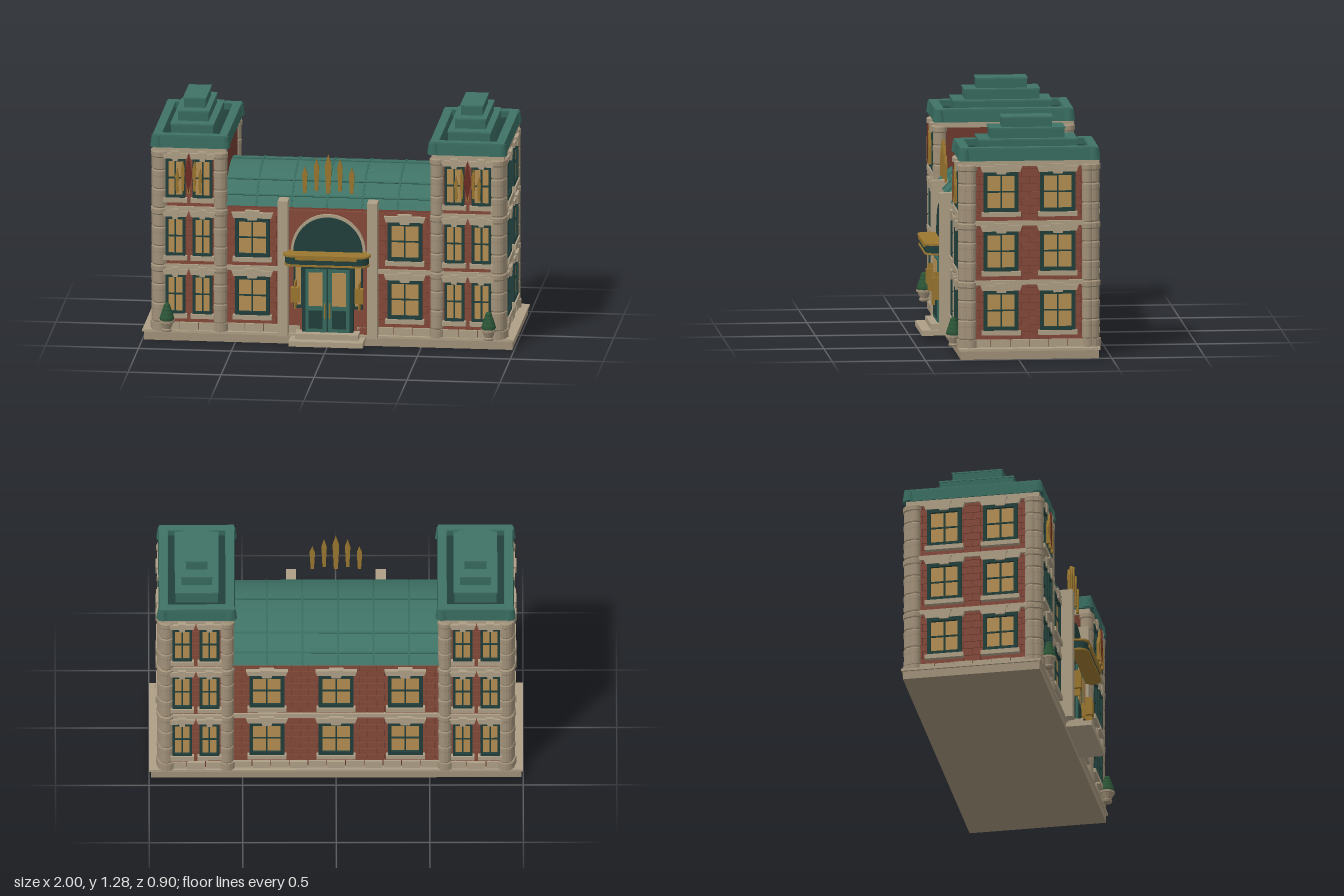
import * as THREE from 'three';
import { mergeGeometries } from 'three/addons/utils/BufferGeometryUtils.js';

const paint = (color) => new THREE.MeshStandardMaterial({ color });
const STONE = paint(0xa09078), PALE = paint(0xae9f86), BRICK = paint(0x84493a), GROUT = paint(0x6e3a2e);
const GREEN = paint(0x376a5e), ROOF = paint(0x3f7265), DARK = paint(0x213f3b), GLASS = paint(0xb48e52);
const GOLD = paint(0x9a762f), MAROON = paint(0x6b2c22), LEAF = paint(0x2c5537);
const MID_Z = -0.0625;

function add(parent, name, geo, mat, x = 0, y = 0, z = 0) {
  const m = new THREE.Mesh(geo, mat);
  m.name = name;
  m.position.set(x, y, z);
  parent.add(m);
  return m;
}
// Box given by its extents on each axis
function block(parent, name, mat, [x0, x1], [y0, y1], [z0, z1]) {
  return add(parent, name, new THREE.BoxGeometry(x1 - x0, y1 - y0, z1 - z0), mat, (x0 + x1) / 2, (y0 + y1) / 2, (z0 + z1) / 2);
}
const poly = (pts) => new THREE.Shape(pts.map(([x, y]) => new THREE.Vector2(x, y)));
const slab = (shape, depth, curveSegments = 20) => new THREE.ExtrudeGeometry(shape, { depth, bevelEnabled: false, curveSegments });
const rect = (w, h) => poly([[-w / 2, 0], [w / 2, 0], [w / 2, h], [-w / 2, h]]);

// Wall-mounted window: frame, glass, glazing bars, sill, lintel and keystone
function addWindow(wall, x, y, w) {
  const g = new THREE.Group(), h = 0.215, f = w > 0.15 ? 0.02 : 0.014, e = w / 2;
  g.name = 'window';
  g.position.set(x, y, 0);
  const frame = rect(w, h);
  frame.holes.push(poly([[-e + f, f], [-e + f, h - f], [e - f, h - f], [e - f, f]]));
  add(g, 'windowFrame', slab(frame, 0.024), DARK);
  block(g, 'windowGlass', GLASS, [-e + f, e - f], [f, h - f], [0, 0.01]);
  block(g, 'verticalBar', DARK, [-0.004, 0.004], [f, h - f], [0, 0.016]);
  block(g, 'horizontalBar', DARK, [-e + f, e - f], [h / 2 - 0.004, h / 2 + 0.004], [0, 0.016]);
  block(g, 'sill', PALE, [-e - 0.011, e + 0.011], [-0.025, 0], [0, 0.032]);
  add(g, 'lintel', slab(poly([[-e - 0.008, h], [e + 0.008, h], [e + 0.018, h + 0.03], [-e - 0.018, h + 0.03]]), 0.027), PALE);
  const k = w * 0.13;
  add(g, 'keystone', slab(poly([[-k, h - 0.01], [k, h - 0.01], [k * 1.6, h + 0.042], [-k * 1.6, h + 0.042]]), 0.034), PALE);
  wall.add(g);
}

// Raised running-bond bricks covering a wall face
function addBricks(wall, width, y0, y1) {
  const bricks = [], bw = 0.09, bh = 0.04, gap = 0.003;
  for (let r = 0, y = y0; y < y1 - 0.005; r++, y += bh) {
    const top = Math.min(y + bh - gap, y1);
    for (let x = -width / 2 - (r % 2) * bw / 2; x < width / 2; x += bw) {
      const a = Math.max(x, -width / 2), b = Math.min(x + bw - gap, width / 2);
      if (b - a < 0.01) continue;
      bricks.push(new THREE.BoxGeometry(b - a, top - y, 0.008).translate((a + b) / 2, (y + top) / 2, 0));
    }
  }
  add(wall, 'bricks', mergeGeometries(bricks), BRICK);
}

// A decorated wall; local +z points out of the building
function addWall(parent, x, z, angle, width, top, centres, winW, floors) {
  const wall = new THREE.Group();
  wall.name = 'wall';
  wall.position.set(x, 0, z);
  wall.rotation.y = angle;
  addBricks(wall, width, 0.1, top);
  for (let i = 0; i < floors; i++) {
    for (const u of centres) addWindow(wall, u, 0.15 + 0.32 * i, winW);
    if (i) block(wall, 'floorBand', PALE, [-width / 2, width / 2], [0.075 + 0.32 * i, 0.1 + 0.32 * i], [0, 0.016]);
  }
  const n = Math.round(width / 0.1), s = width / n;
  for (let i = 0; i < n; i++) {
    const a = -width / 2 + i * s;
    block(wall, 'plinthStone', PALE, [a + 0.002, a + s - 0.002], [0.055, 0.1], [-0.01, i % 2 ? 0.02 : 0.015]);
  }
  parent.add(wall);
}

// Drum column with grooves, a base and a capital on each floor
function addColumn(parent, x, z, r) {
  const p = [[0, 0.055], [r * 1.15, 0.055], [r * 1.15, 0.1]];
  for (let i = 0; i < 9; i++) {
    const y = 0.1 + i * 0.105, bulge = i % 3 === 2 ? 1.08 : 1;
    p.push([r * 0.88, y], [r * 0.98, y + 0.007], [r * 0.98, y + 0.068], [r * bulge, y + 0.074], [r * bulge, y + 0.098], [r * 0.88, y + 0.105]);
  }
  p.push([0, 1.045]);
  const geo = new THREE.LatheGeometry(p.map(([a, b]) => new THREE.Vector2(a, b)), 16);
  add(parent, 'column', geo, STONE, x, 0, z).material = STONE_FLAT;
}
const STONE_FLAT = new THREE.MeshStandardMaterial({ color: 0xa09078, flatShading: true });

// Fan of pointed spikes, tallest in the middle
function addCrest(parent, x, y, z, spacing, width, height) {
  const g = new THREE.Group();
  g.name = 'spikeCrest';
  g.position.set(x, y, z);
  for (let i = -2; i <= 2; i++) {
    const h = height * [1, 0.84, 0.67][Math.abs(i)], w = width * (i ? 0.8 : 1) / 2;
    const spike = poly([[-w * 0.6, 0], [w * 0.6, 0], [w, h * 0.72], [0, h], [-w, h * 0.72]]);
    add(g, 'spike', slab(spike, 0.014), GOLD, i * spacing, i % 2 ? 0.012 : 0, -0.007);
  }
  parent.add(g);
  return g;
}

function buildTower() {
  const t = new THREE.Group(), cx = 0.75;
  t.name = 'tower';
  block(t, 'towerBody', GROUT, [0.565, 0.93], [0.05, 1.04], [-0.415, 0.29]);
  addWall(t, cx, 0.29, 0, 0.31, 1.035, [-0.073, 0.073], 0.105, 3);
  addWall(t, cx, -0.415, Math.PI, 0.31, 1.035, [-0.073, 0.073], 0.105, 3);
  addWall(t, 0.93, MID_Z, Math.PI / 2, 0.62, 1.035, [-0.152, 0.152], 0.187, 3);
  for (const s of [-1, 1]) {
    addColumn(t, 0.907, MID_Z + s * 0.338, 0.043);
    addColumn(t, 0.925, MID_Z + s * 0.315, 0.033);
    addColumn(t, 0.583, MID_Z + s * 0.342, 0.038);
  }
  block(t, 'cornice', PALE, [0.555, 0.945], [1.035, 1.07], [-0.425, 0.3]);
  // Roof parapet: flared frame around a sunken deck
  const W = 0.41, D = 0.75, x0 = 0.745;
  const rim = rect(W, D);
  rim.holes.push(poly([[-0.158, 0.05], [-0.158, D - 0.05], [0.158, D - 0.05], [0.158, 0.05]]));
  const geo = slab(rim, 0.068).translate(0, -D / 2, 0).rotateX(-Math.PI / 2);
  const pos = geo.attributes.position;
  for (let i = 0; i < pos.count; i++) {
    if (pos.getY(i) > 0.03) { pos.setX(i, pos.getX(i) * 0.97); pos.setZ(i, pos.getZ(i) * 0.98); }
  }
  geo.computeVertexNormals();
  add(t, 'parapet', geo, GREEN, x0, 1.065, MID_Z);
  block(t, 'parapetCap', ROOF, [x0 - 0.2, x0 - 0.155], [1.125, 1.136], [MID_Z - 0.37, MID_Z + 0.37]);
  block(t, 'parapetCap', ROOF, [x0 + 0.155, x0 + 0.2], [1.125, 1.136], [MID_Z - 0.37, MID_Z + 0.37]);
  for (const s of [-1, 1]) {
    block(t, 'parapetCap', ROOF, [x0 - 0.155, x0 + 0.155], [1.125, 1.136], [MID_Z + s * 0.3475 - 0.0225, MID_Z + s * 0.3475 + 0.0225]);
    for (const u of [-1, 1]) add(t, 'cornerBoss', new THREE.CylinderGeometry(0.028, 0.036, 0.06, 10), GREEN, x0 + u * 0.18, 1.098, MID_Z + s * 0.348);
  }
  block(t, 'roofDeck', DARK, [x0 - 0.16, x0 + 0.16], [1.07, 1.1], [MID_Z - 0.33, MID_Z + 0.33]);
  // Stepped roof tiers with thin lips
  [[0.113, 0.262, 1.09, 1.17], [0.082, 0.2, 1.16, 1.227], [0.058, 0.135, 1.22, 1.283]].forEach(([a, b, y0, y1]) => {
    block(t, 'roofTier', GREEN, [x0 - a, x0 + a], [y0, y1 - 0.008], [MID_Z - b, MID_Z + b]);
    block(t, 'tierLip', ROOF, [x0 - a - 0.004, x0 + a + 0.004], [y1 - 0.008, y1], [MID_Z - b - 0.004, MID_Z + b + 0.004]);
  });
  // Crest between the upper windows
  const crest = addCrest(t, cx, 0.82, 0.322, 0.031, 0.024, 0.2);
  add(crest, 'crestDiamond', slab(poly([[0, 0], [0.02, 0.1], [0, 0.215], [-0.02, 0.1]]), 0.008), MAROON, 0, 0, 0.002);
  // Potted shrub
  const pot = [[0, 0], [0.024, 0], [0.028, 0.01], [0.022, 0.016], [0.036, 0.05], [0.042, 0.05], [0.042, 0.062], [0, 0.062]];
  add(t, 'plantPot', new THREE.LatheGeometry(pot.map(([a, b]) => new THREE.Vector2(a, b)), 12), STONE_FLAT, 0.865, 0.058, 0.338);
  for (let i = 0; i < 4; i++) add(t, 'shrub', new THREE.IcosahedronGeometry(0.04 - i * 0.007, 1), LEAF, 0.865, 0.13 + i * 0.022, 0.338);
  return t;
}

function buildEntrance() {
  const e = new THREE.Group();
  e.name = 'entrance';
  block(e, 'portalWall', BRICK, [-0.22, 0.22], [0.05, 0.735], [0.25, 0.3]);
  for (const s of [-1, 1]) block(e, 'pilaster', PALE, [s * 0.24 - 0.027, s * 0.24 + 0.027], [0.05, 0.798], [0.27, 0.357]);
  block(e, 'lowerStep', PALE, [-0.2, 0.2], [0.02, 0.048], [0.3, 0.447]);
  block(e, 'upperStep', PALE, [-0.17, 0.17], [0.048, 0.078], [0.3, 0.395]);
  // Arched fanlight with radiating bars
  const half = (r) => new THREE.Shape().absarc(0, 0, r, 0, Math.PI, false);
  const ring = half(0.185);
  ring.holes.push(half(0.162));
  add(e, 'archFrame', slab(ring, 0.04), DARK, 0, 0.52, 0.295);
  const trim = half(0.2);
  trim.holes.push(half(0.185));
  add(e, 'archTrim', slab(trim, 0.022), PALE, 0, 0.52, 0.295);
  add(e, 'fanlight', slab(half(0.163), 0.015), GLASS, 0, 0.52, 0.295);
  for (let i = 1; i < 8; i++) {
    const bar = block(e, 'fanBar', DARK, [-0.004, 0.004], [0, 0.163], [0.3, 0.322]);
    bar.geometry.translate(0, 0.0815, 0);
    bar.position.y = 0.52;
    bar.rotation.z = (i / 8 - 0.5) * Math.PI;
  }
  // Door surround, side lights and the two leaves
  block(e, 'doorSurround', DARK, [-0.185, 0.185], [0.2, 0.525], [0.29, 0.318]);
  block(e, 'doorFrame', DARK, [-0.137, 0.137], [0.078, 0.44], [0.29, 0.345]);
  for (const s of [-1, 1]) {
    const span = (a, b) => [Math.min(s * a, s * b), Math.max(s * a, s * b)];
    block(e, 'sideLight', GLASS, span(0.145, 0.176), [0.22, 0.46], [0.31, 0.323]);
    block(e, 'doorLeaf', GREEN, span(0.004, 0.118), [0.08, 0.425], [0.33, 0.357]);
    block(e, 'doorGlass', GLASS, span(0.025, 0.1), [0.225, 0.41], [0.35, 0.361]);
    block(e, 'doorPanel', DARK, span(0.025, 0.1), [0.1, 0.2], [0.35, 0.361]);
    block(e, 'doorHandle', GOLD, span(0.01, 0.017), [0.16, 0.24], [0.355, 0.376]);
    // Wall lantern
    block(e, 'lantern', GOLD, span(0.15, 0.195), [0.25, 0.33], [0.35, 0.39]);
    block(e, 'lanternBracket', GOLD, span(0.168, 0.177), [0.21, 0.36], [0.31, 0.382]);
  }
  // Canopy with rounded front corners
  const canopy = (w, d, r) => new THREE.Shape().moveTo(-w, 0).lineTo(w, 0).lineTo(w, -d + r)
    .quadraticCurveTo(w, -d, w - r, -d).lineTo(-w + r, -d).quadraticCurveTo(-w, -d, -w, -d + r).lineTo(-w, 0);
  [[0.225, 0.12, 0.462, 0.05, DARK], [0.235, 0.13, 0.51, 0.01, GOLD], [0.228, 0.126, 0.458, 0.01, GOLD]].forEach(([w, d, y, h, mat]) =>
    add(e, 'canopy', slab(canopy(w, d, 0.06), h, 8).rotateX(-Math.PI / 2), mat, 0, y, 0.305));
  block(e, 'canopyBand', GOLD, [-0.165, 0.165], [0.495, 0.511], [0.42, 0.434]);
  return e;
}

function buildCentre() {
  const c = new THREE.Group();
  c.name = 'centreBlock';
  block(c, 'centreBody', GROUT, [-0.57, 0.57], [0.05, 0.735], [-0.405, 0.28]);
  addWall(c, 0, 0.28, 0, 1.1, 0.735, [-0.41, 0.41], 0.187, 2);
  addWall(c, 0, -0.405, Math.PI, 1.1, 0.735, [-0.37, 0, 0.37], 0.187, 2);
  // Barrel roof, built along x, with standing ribs
  const R = 0.477, cy = 0.441, a = Math.asin(0.362 / R);
  const arc = (r) => new THREE.Shape().absarc(0, 0, r, Math.PI / 2 - a, Math.PI / 2 + a, false);
  const along = (shape, len, x) => slab(shape, len, 28).translate(0, 0, -len / 2).rotateY(Math.PI / 2).translate(x, cy, MID_Z);
  add(c, 'barrelRoof', along(arc(R), 1.12, 0), ROOF);
  for (let i = -2; i <= 2; i++) add(c, 'roofRib', along(arc(R + 0.005), 0.01, i * 0.19 - 0.01), GREEN);
  for (const t of [-0.83, -0.56, 0, 0.56, 0.83]) {
    const rib = add(c, 'roofSeam', new THREE.BoxGeometry(1.11, 0.01, 0.01), GREEN, 0, cy + R * Math.cos(t * a), MID_Z + R * Math.sin(t * a));
    rib.rotation.x = t * a;
  }
  addCrest(c, 0, 0.838, 0.312, 0.063, 0.036, 0.215);
  return c;
}

export function createModel() {
  const model = new THREE.Group();
  model.name = 'building';
  block(model, 'baseSlab', STONE, [-0.99, 0.99], [0, 0.045], [-0.432, 0.31]);
  block(model, 'baseLip', PALE, [-1, 1], [0.045, 0.058], [-0.44, 0.318]);
  const left = buildTower(), right = buildTower();
  left.name = 'leftTower';
  right.name = 'rightTower';
  right.scale.x = -1;
  model.add(left, right, buildCentre(), buildEntrance());
  return model;
}
